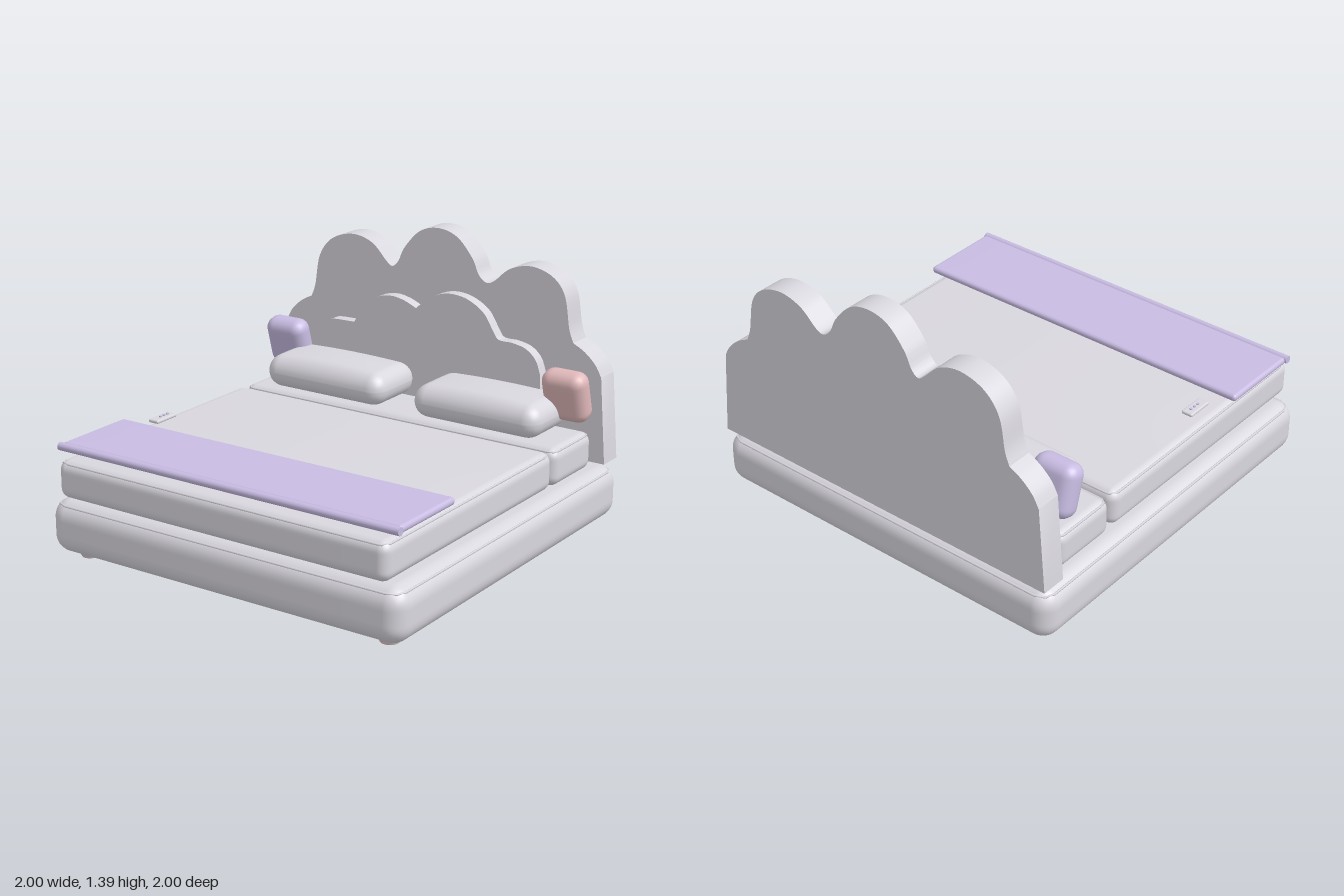
import * as THREE from 'three';
import { mergeVertices, toCreasedNormals } from 'three/addons/utils/BufferGeometryUtils.js';

const material = (name, color) => {
  const m = new THREE.MeshStandardMaterial({ color });
  m.name = name;
  return m;
};

// Rounded, optionally crowned box: the outer half of each face grid wraps the corner.
function softBox(w, h, d, r, crown = 0) {
  let geo = new THREE.BoxGeometry(2, 2, 2, 16, 16, 16);
  const pos = geo.attributes.position;
  const half = [w / 2, h / 2, d / 2];
  for (let i = 0; i < pos.count; i++) {
    const u = [pos.getX(i), pos.getY(i), pos.getZ(i)];
    const offset = new THREE.Vector3(...u.map((c) =>
      Math.sign(c) * Math.tan(Math.max(0, Math.abs(c) - 0.5) * Math.PI / 2))).setLength(r);
    const p = u.map((c, k) => (half[k] - r) * THREE.MathUtils.clamp(c * 2, -1, 1));
    p[0] += offset.x;
    p[1] += offset.y;
    p[2] += offset.z;
    const fx = p[0] / half[0], fz = p[2] / half[2];
    if (p[1] > 0) p[1] += crown * (1 - fx * fx) * (1 - fz * fz) * p[1] / half[1];
    pos.setXYZ(i, ...p);
  }
  geo.deleteAttribute('normal');
  geo.deleteAttribute('uv');
  geo = mergeVertices(geo, 1e-5);
  geo.computeVertexNormals();
  return geo;
}

// Piping loop with rounded corners, lying flat.
function pipingLoop(w, d, r, thickness) {
  const points = [];
  [[1, 1], [-1, 1], [-1, -1], [1, -1]].forEach(([sx, sz], k) => {
    for (let i = 0; i <= 6; i++) {
      const a = (k + i / 6) * Math.PI / 2;
      points.push(new THREE.Vector3(
        sx * (w / 2 - r) + r * Math.cos(a), 0, sz * (d / 2 - r) + r * Math.sin(a)));
    }
  });
  const path = new THREE.CurvePath();
  points.forEach((p, i) => path.add(new THREE.LineCurve3(p, points[(i + 1) % points.length])));
  return new THREE.TubeGeometry(path, 160, thickness, 6, true);
}

// Upright panel: straight foot corners, then one smooth curve for each lobe.
function scallopedPanel(start, lobes, end, depth) {
  const shape = new THREE.Shape();
  shape.moveTo(...start);
  shape.lineTo(...lobes[0][0]);
  lobes.forEach((lobe) => shape.splineThru(lobe.slice(1).map((p) => new THREE.Vector2(...p))));
  shape.lineTo(...end);
  shape.closePath();
  const geo = new THREE.ExtrudeGeometry(shape, { depth, bevelEnabled: false, curveSegments: 10 });
  return toCreasedNormals(geo, 0.5);
}

export function createModel() {
  const model = new THREE.Group();
  model.name = 'bed';
  const fabric = material('pale grey fabric', 0xd9d7de);
  const lavender = material('lavender fabric', 0xc8bce2);
  const pink = material('pink fabric', 0xe0b8ba);
  const footPink = material('pale pink feet', 0xdccacd);

  const add = (name, geo, mat, x = 0, y = 0, z = 0) => {
    const mesh = new THREE.Mesh(geo, mat);
    mesh.name = name;
    mesh.position.set(x, y, z);
    model.add(mesh);
    return mesh;
  };

  // Base and mattress sections, each with piping around the top edge
  const upholstered = (name, w, y0, y1, z0, z1, r, crown) => {
    const d = z1 - z0, z = (z0 + z1) / 2, inset = r * 0.293;
    add(name, softBox(w, y1 - y0, d, r, crown), fabric, 0, (y0 + y1) / 2, z);
    add(name + 'Piping', pipingLoop(w - 2 * inset, d - 2 * inset, r * 0.707, 0.006),
      fabric, 0, y1 - inset, z);
  };
  upholstered('base', 2, 0.03, 0.3, -1, 1, 0.09, 0.005);
  upholstered('mattress', 1.86, 0.32, 0.51, -0.435, 1, 0.05, 0.015);
  upholstered('headMattress', 1.86, 0.315, 0.505, -0.825, -0.45, 0.05, 0.012);

  // Feet
  for (const x of [-0.86, 0.86]) {
    for (const z of [-0.86, 0.86]) {
      add('foot', new THREE.CylinderGeometry(0.06, 0.045, 0.035, 24), footPink, x, 0.0175, z);
    }
  }

  // Scalloped headboard
  add('headboard', scallopedPanel([-0.98, 0.33], [
    [[-0.945, 0.77], [-0.91, 0.83], [-0.85, 0.885], [-0.785, 0.92]],
    [[-0.785, 0.92], [-0.76, 0.99], [-0.73, 1.15], [-0.65, 1.25], [-0.52, 1.29],
      [-0.4, 1.26], [-0.31, 1.175], [-0.275, 1.155], [-0.24, 1.185], [-0.2, 1.265],
      [-0.11, 1.36], [0, 1.39], [0.11, 1.36], [0.2, 1.265], [0.24, 1.185], [0.285, 1.15],
      [0.33, 1.165], [0.42, 1.24], [0.54, 1.27], [0.66, 1.235], [0.73, 1.15],
      [0.76, 0.99], [0.785, 0.92]],
    [[0.785, 0.92], [0.85, 0.885], [0.91, 0.83], [0.945, 0.77]],
  ], [0.98, 0.33], 0.13), fabric, 0, 0, -0.99);

  // Smaller cloud panel in front of it
  add('cloudPanel', scallopedPanel([-0.645, 0.55], [
    [[-0.645, 0.8], [-0.63, 0.825], [-0.59, 0.837], [-0.47, 0.84]],
    [[-0.47, 0.84], [-0.41, 0.935], [-0.33, 0.995], [-0.24, 1.015], [-0.16, 1.002], [-0.09, 0.973]],
    [[-0.09, 0.973], [-0.03, 1.025], [0.05, 1.067], [0.13, 1.08], [0.22, 1.064], [0.31, 1.01],
      [0.37, 0.92], [0.4, 0.887], [0.47, 0.885]],
    [[0.47, 0.885], [0.55, 0.868], [0.61, 0.82], [0.64, 0.745]],
  ], [0.645, 0.55], 0.06), fabric, 0, 0, -0.86);

  // Sleeping pillows
  for (const [name, x] of [['rightPillow', -0.45], ['leftPillow', 0.45]]) {
    add(name, softBox(0.72, 0.165, 0.37, 0.08, 0.02), fabric, x, 0.598, -0.645);
  }

  // Small cushions tipped forward
  for (const [name, x, mat] of [['rightCushion', -0.83, lavender], ['leftCushion', 0.83, pink]]) {
    add(name, softBox(0.235, 0.265, 0.13, 0.058), mat, x, 0.697, -0.73).rotation.x = 0.28;
  }

  // Bed runner with a rolled front hem
  add('runner', softBox(1.91, 0.038, 0.44, 0.018), lavender, 0, 0.554, 0.705);
  const hem = add('runnerHem', new THREE.CylinderGeometry(0.02, 0.02, 1.92, 16), lavender, 0, 0.556, 0.936);
  hem.rotation.z = Math.PI / 2;

  // Remote control with three buttons
  add('remote', softBox(0.06, 0.018, 0.148, 0.008), fabric, -0.842, 0.55, 0.322);
  for (const z of [0.285, 0.312, 0.339]) {
    add('remoteButton', new THREE.CylinderGeometry(0.007, 0.007, 0.008, 12), lavender, -0.842, 0.561, z);
  }
  return model;
}
